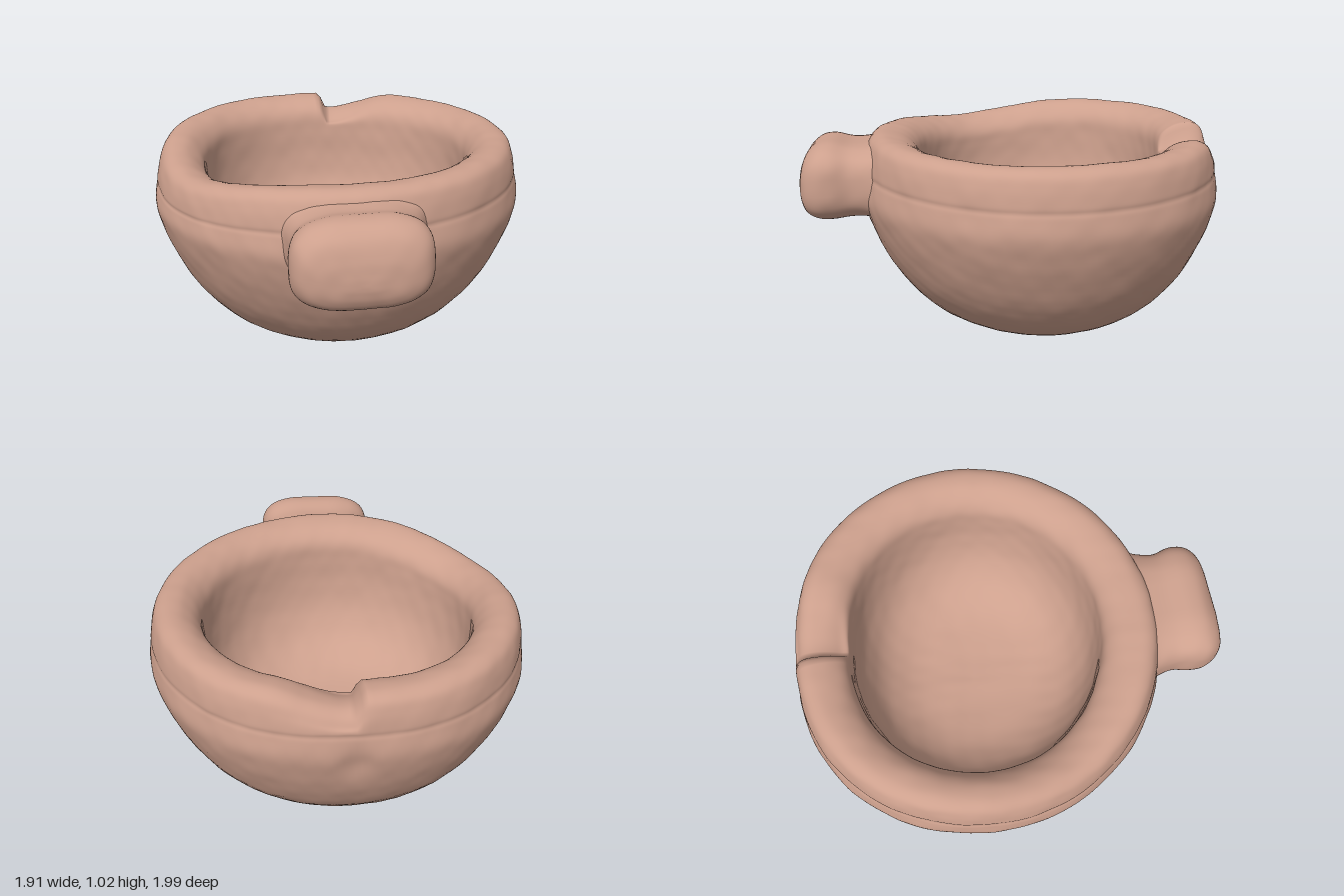
import * as THREE from 'three';
import { mergeVertices } from 'three/addons/utils/BufferGeometryUtils.js';

const CX = 0.022, CZ = -0.068; // bowl axis
const smooth = THREE.MathUtils.smoothstep;

// Soft bump around an angle, 1 at its centre
const lobe = (a, centre, width) => Math.exp((Math.cos(a - centre) - 1) * 2 / width ** 2);

// Gentle hand-worked unevenness
function lumps(x, y, z) {
  return 0.003 * Math.sin(6 * x + 1) * Math.sin(7 * y) * Math.sin(6 * z + 2)
    + 0.0025 * Math.sin(17 * x + 2 * y) * Math.sin(19 * y + 3 * z) * Math.sin(16 * z + 3 * x)
    + 0.0015 * Math.sin(37 * x + 9 * z) * Math.sin(41 * y + 8 * x) * Math.sin(39 * z + 7 * y);
}

// Weld the seam, push vertices along their normals, and smooth-shade
function finish(geo) {
  geo.deleteAttribute('uv');
  geo.deleteAttribute('normal');
  const g = mergeVertices(geo, 1e-5);
  g.computeVertexNormals();
  const p = g.attributes.position, n = g.attributes.normal;
  for (let i = 0; i < p.count; i++) {
    const k = lumps(p.getX(i), p.getY(i), p.getZ(i));
    p.setXYZ(i, p.getX(i) + n.getX(i) * k, p.getY(i) + n.getY(i) * k, p.getZ(i) + n.getZ(i) * k);
  }
  g.computeVertexNormals();
  return g;
}

function bowlGeometry() {
  // Radius and height: outside wall, collar, rim, then down the inside
  const profile = [
    [0, 0.003], [0.22, 0.007], [0.4, 0.04], [0.52, 0.09], [0.63, 0.165], [0.73, 0.27], [0.81, 0.39],
    [0.875, 0.53], [0.915, 0.65], [0.929, 0.73], [0.918, 0.81], [0.91, 0.84], [0.91, 0.87],
    [0.897, 0.94], [0.872, 0.995], [0.82, 1.02], [0.75, 1.01], [0.69, 0.975], [0.655, 0.92],
    [0.645, 0.83], [0.633, 0.69], [0.597, 0.54], [0.51, 0.4], [0.365, 0.305], [0.18, 0.265], [0, 0.257]
  ].map(([r, y]) => new THREE.Vector2(r, y));
  const pts = new THREE.SplineCurve(profile).getPoints(130);
  pts[0].x = pts[pts.length - 1].x = 0;
  const row = pts.length, rimRow = pts.reduce((best, q, i) => q.y > pts[best].y ? i : best, 0);
  const geo = new THREE.LatheGeometry(pts, 200);
  const p = geo.attributes.position;
  for (let i = 0; i < p.count; i++) {
    let x = p.getX(i), y = p.getY(i), z = p.getZ(i);
    const r = Math.hypot(x, z), a = Math.atan2(z, x);
    // Uneven plan: flattened on the broken side, with an oval mouth
    const mouth = i % row > rimRow ? 1 - smooth(r, 0.66, 0.8) : 0;
    let k = 1 + smooth(r, 0, 0.5) * (0.013 * lobe(a, 0.8, 0.5) - 0.007 * lobe(a, -2.36, 0.5) * (1 - mouth)
      - 0.048 * lobe(a, -0.785, 0.5) + mouth * (0.025 * Math.sin(2 * a) - 0.005 * Math.cos(2 * a)));
    // Shallow dent in the outside wall below the break
    if (r > 0.78) {
      const d = Math.hypot((a + 0.82) / 0.11, (y - 0.68) / 0.13);
      k -= 0.025 * Math.exp(-d * d * 1.5);
    }
    // Broken rim: a sharp step on one side, a slow rise on the other
    const bite = smooth(a, -0.87, -0.81) * (1 - smooth(a, -0.79, -0.3));
    y -= 0.085 * bite * smooth(y, 0.84, 0.99) * smooth(r, 0.55, 0.7);
    // Worn, lower stretch of rim
    y -= 0.075 * lobe(a, -2.9, 0.55) * smooth(y, 0.65, 1) * smooth(r, 0.5, 0.66);
    p.setXYZ(i, x * k, y, z * k);
  }
  return finish(geo);
}

// Lug: rounded-square sections lofted outward from the wall
function lugGeometry() {
  // distance from axis, half width, bottom, top
  const stations = [
    [0.74, 0.36, 0.58, 0.98], [0.81, 0.345, 0.575, 0.985], [0.88, 0.31, 0.6, 0.975], [0.97, 0.29, 0.605, 0.972],
    [1.06, 0.305, 0.595, 0.99], [1.13, 0.3, 0.595, 0.98], [1.185, 0.265, 0.62, 0.935],
    [1.215, 0.2, 0.66, 0.86], [1.228, 0.1, 0.71, 0.79], [1.231, 0, 0.745, 0.745]
  ];
  const curves = [1, 2, 3].map(k =>
    new THREE.CatmullRomCurve3(stations.map(s => new THREE.Vector3(s[0], s[k], 0))));
  const ux = -0.66, uz = 0.751, rings = 45, sides = 64, pos = [], index = [];
  for (let i = 0; i <= rings; i++) {
    const [w, b, t] = curves.map(c => c.getPoint(i / rings));
    for (let j = 0; j < sides; j++) {
      const a = j / sides * Math.PI * 2, c = Math.cos(a), s = Math.sin(a);
      const side = Math.max(w.y, 0) * Math.sign(c) * Math.abs(c) ** 0.6;
      const y = (b.y + t.y) / 2 + (t.y - b.y) / 2 * Math.sign(s) * Math.abs(s) ** 0.65
        + (s < 0 ? 0.05 * Math.max(side, 0) : 0.03 * side);
      pos.push(CX + ux * w.x + uz * side, y, CZ + uz * w.x - ux * side);
      if (i < rings) {
        const q = i * sides + j, q2 = i * sides + (j + 1) % sides;
        index.push(q, q2, q + sides, q2, q2 + sides, q + sides);
      }
    }
  }
  const geo = new THREE.BufferGeometry();
  geo.setAttribute('position', new THREE.Float32BufferAttribute(pos, 3));
  geo.setIndex(index);
  return finish(geo);
}

export function createModel() {
  const clay = new THREE.MeshStandardMaterial({ color: 0xcda08d });
  clay.name = 'clay';
  const model = new THREE.Group();
  model.name = 'mortarBowl';

  const bowl = new THREE.Mesh(bowlGeometry(), clay);
  bowl.name = 'bowl';
  bowl.position.set(CX, 0, CZ);

  const lug = new THREE.Mesh(lugGeometry(), clay);
  lug.name = 'lugHandle';

  model.add(bowl, lug);
  return model;
}
